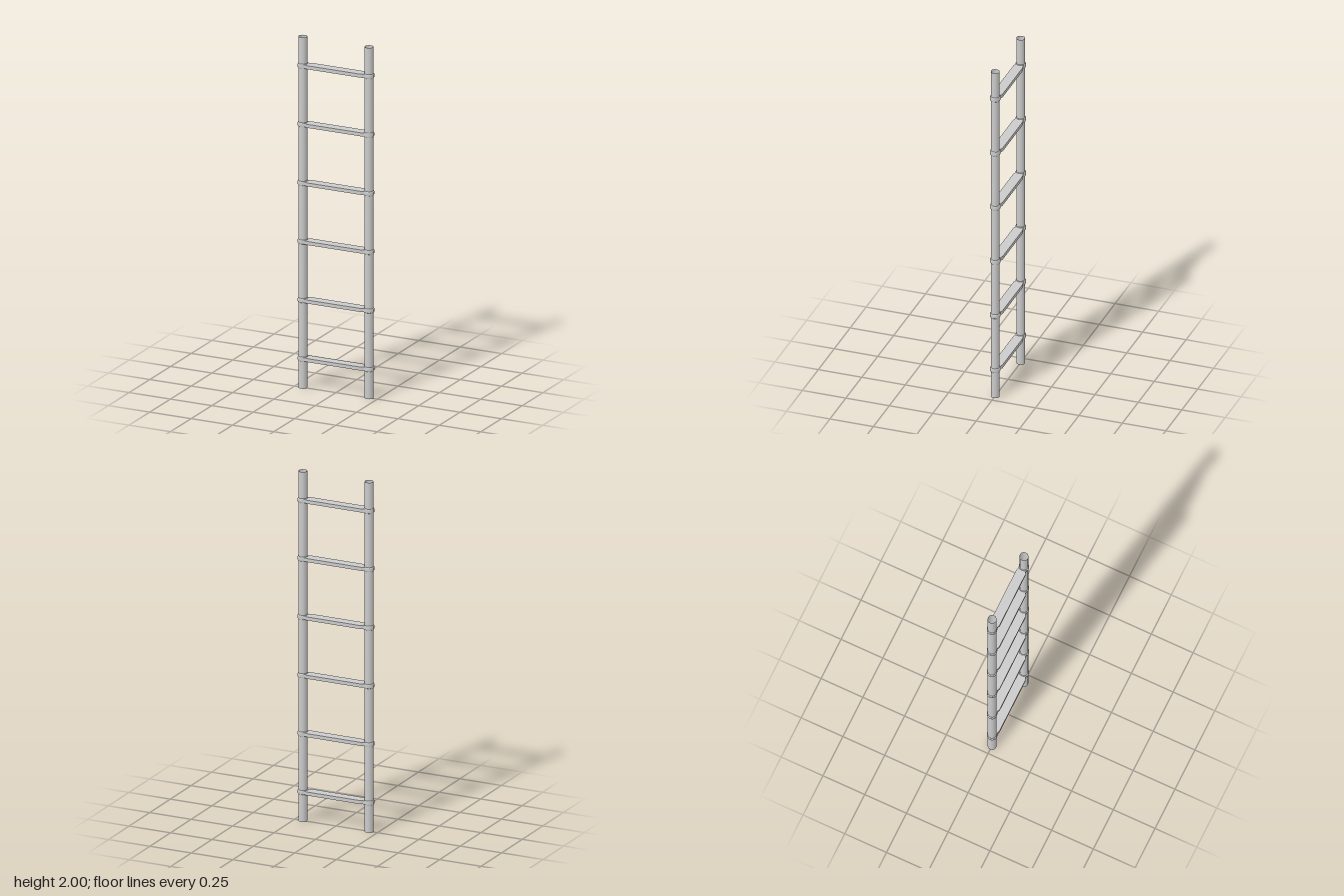
import * as THREE from 'three';

const material = new THREE.MeshStandardMaterial({ color: 0xcccccc, side: THREE.DoubleSide });

const RAIL_X = 0.2, RAIL_R = 0.0245, RUNGS = 6;

function addMesh(parent, name, geometry, x = 0, y = 0) {
  const mesh = new THREE.Mesh(geometry, material);
  mesh.name = name;
  mesh.position.set(x, y, 0);
  parent.add(mesh);
}

// Flat slat outline with chamfered corners and necks that hug the rails
function slatGeometry(height) {
  const right = [[0.163, 0.028], [0.175, 0.0225], [0.186, 0.0235]];
  const arc = [];
  for (let i = 1; i < 6; i++) {
    const a = Math.PI * (0.667 + (0.666 * i) / 6);
    arc.push([RAIL_X + RAIL_R * Math.cos(a), RAIL_R * Math.sin(a)]);
  }
  const end = [...right, ...arc, ...right.map(([x, z]) => [x, -z]).reverse()];
  const outline = [...end, ...end.map(([x, z]) => [-x, -z])];
  const shape = new THREE.Shape(outline.map(([x, z]) => new THREE.Vector2(x, z)));
  const geometry = new THREE.ExtrudeGeometry(shape, { depth: height, bevelEnabled: false });
  geometry.rotateX(-Math.PI / 2);
  geometry.translate(0, -height / 2, 0);
  return geometry;
}

// Band around a rail, with softened rims
function collarGeometry() {
  const profile = [[RAIL_R, -0.0125], [0.0272, -0.0115], [0.0285, -0.008],
    [0.0285, 0.008], [0.0272, 0.0115], [RAIL_R, 0.0125]];
  return new THREE.LatheGeometry(profile.map(([r, y]) => new THREE.Vector2(r, y)), 12);
}

export function createModel() {
  const ladder = new THREE.Group();
  ladder.name = 'ladder';

  // Hollow, open-ended side rails
  const rail = new THREE.CylinderGeometry(RAIL_R, RAIL_R, 2, 12, 1, true);
  addMesh(ladder, 'leftRail', rail, RAIL_X, 1);
  addMesh(ladder, 'rightRail', rail, -RAIL_X, 1);

  // Evenly spaced rungs: a slat and a collar on each rail
  const slat = slatGeometry(0.02);
  const collar = collarGeometry();
  for (let i = 0; i < RUNGS; i++) {
    const rung = new THREE.Group();
    rung.name = `rung${i + 1}`;
    rung.position.y = 0.168 + i * 0.3335;
    addMesh(rung, 'slat', slat);
    addMesh(rung, 'leftCollar', collar, RAIL_X);
    addMesh(rung, 'rightCollar', collar, -RAIL_X);
    ladder.add(rung);
  }
  return ladder;
}
